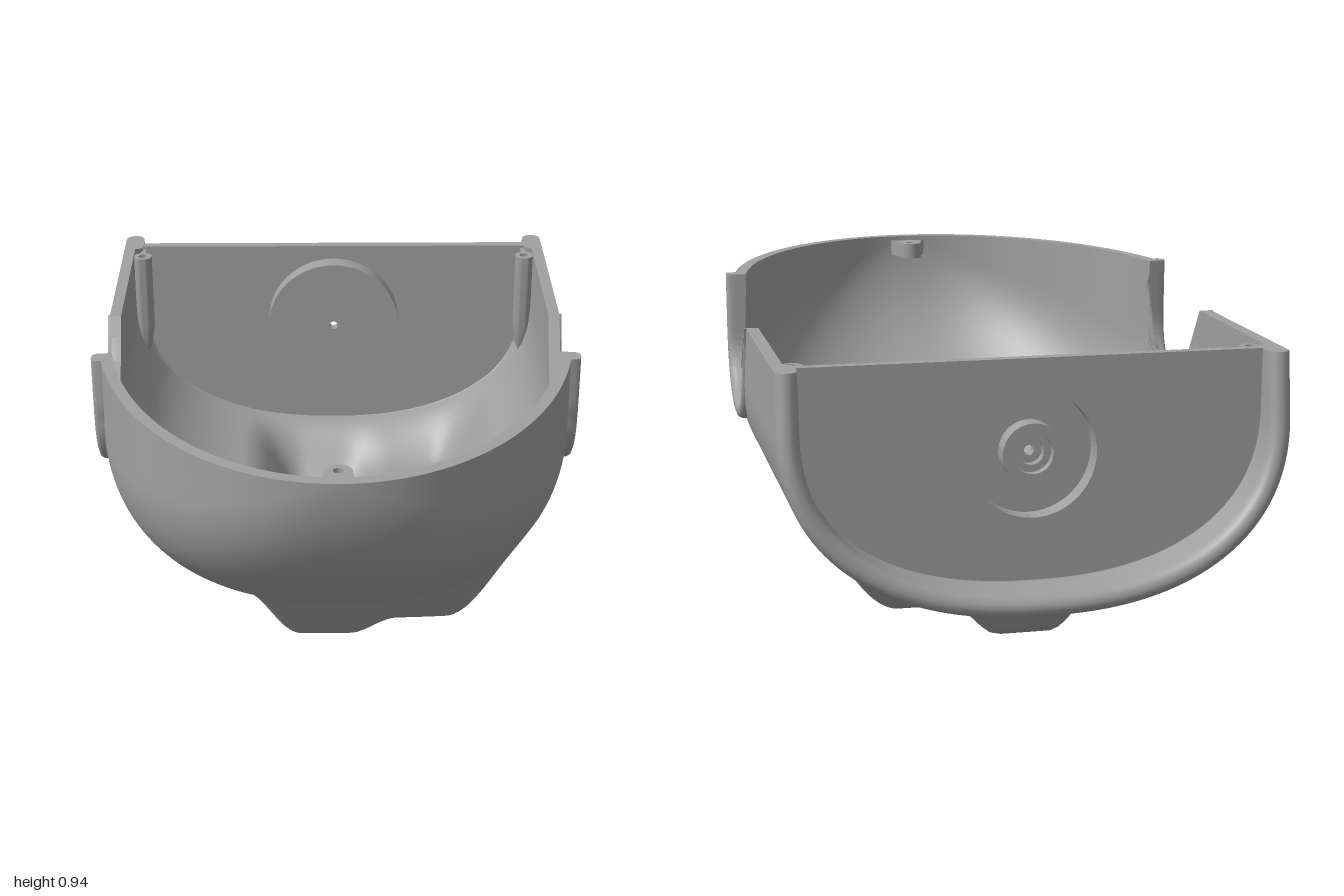
import * as THREE from 'three';
import { toCreasedNormals } from 'three/addons/utils/BufferGeometryUtils.js';

const N = 2.3;            // roundness of the U-shaped section
const WALL = 0.035, LIP = 0.06, Z_END = -0.97;
const { smoothstep: step, lerp } = THREE.MathUtils;

// Half width, floor height and shoulder height of the hull at z
function station(z) {
  const k = z > 0 ? Math.sqrt(Math.max(0, 1 - z * z)) : 1;
  return { w: 0.7 * k, h: 0.517 * k, yc: 0.94 - 0.243 * k };
}

// Rim height, including the round side cut-out
function rimY(z) {
  if (z > 0.21501) return 0.94;
  if (z > -0.114) return 0.753 - Math.sqrt(Math.max(0, 0.175 ** 2 - (z - 0.04) ** 2));
  if (z > -0.24) return lerp(0.667, 0.855, (-0.114 - z) / 0.126);
  return 0.855;
}

// Lopsided bulge pressed out of the underside
function bulge(x, y, z) {
  const low = lerp(0.037, 0.001, 1 - step(z, -0.36, -0.08));
  const target = lerp(low, 0.1, step(x, 0.04, 0.18));
  const m = step(x, -0.3, -0.11) * (1 - step(x, 0.33, 0.56))
    * (1 - step(z, 0.28, 0.58)) * step(z, -0.8, -0.58);
  return lerp(y, Math.min(y, target), m);
}

// Point on the outer skin; p runs from 1 (+x rim) to -1 (-x rim)
function skin(p, z) {
  const { w, h, yc } = station(z), top = rimY(z);
  const start = top >= yc ? yc - top : Math.asin(Math.min(1, ((yc - top) / h) ** (N / 2)));
  const a = lerp(Math.PI / 2, start, Math.abs(p));
  const x = a > 0 ? w * Math.max(0, Math.cos(a)) ** (2 / N) : w;
  const y = a > 0 ? yc - h * Math.sin(a) ** (2 / N) : yc - a;
  const sx = Math.sign(p) * x;
  return new THREE.Vector3(sx, bulge(sx, y, z), z);
}

function halfWidth(z, y) {
  const { w, h, yc } = station(z);
  return y >= yc ? w : w * (1 - ((yc - y) / h) ** N) ** (1 / N);
}

function geometry(points, index) {
  const g = new THREE.BufferGeometry().setFromPoints(points);
  g.setIndex(index);
  g.computeVertexNormals();
  return g;
}

function gridIndex(rows, cols) {
  const out = [];
  for (let i = 0; i < rows - 1; i++) for (let j = 0; j < cols - 1; j++) {
    const a = i * cols + j, c = a + cols;
    out.push(a, a + 1, c, a + 1, c + 1, c);
  }
  return out;
}

// Stations along the hull, denser around the nose and the cut-out
function stations() {
  const zs = [];
  const run = (n, f) => { for (let i = 0; i <= n; i++) zs.push(f(i / n)); };
  run(56, t => Math.sin(lerp(Math.PI / 2, Math.asin(0.2151), t)));
  run(26, t => 0.04 + 0.175 * Math.cos(2.647 * t));
  run(3, t => lerp(-0.125, -0.24, t));
  run(34, t => lerp(-0.25, -0.82, t));
  run(6, t => lerp(-0.84, Z_END, t));
  return zs;
}

// Hull: outer skin, rounded back lip and inner skin in one grid, plus flat rims
function hullGeometries() {
  const zs = stations(), cols = 113, outer = [];
  for (const z of zs) for (let j = 0; j < cols; j++) outer.push(skin(1 - 2 * j / (cols - 1), z));
  const nrm = geometry(outer, gridIndex(zs.length, cols)).attributes.normal;

  const rows = zs.map((z, i) => ({ i, off: 0, dz: 0 }));
  for (let s = 1; s < 8; s++) {
    const a = Math.PI * s / 8;
    rows.push({ i: zs.length - 1, off: LIP / 2 * (1 - Math.cos(a)), dz: -LIP / 2 * Math.sin(a) });
  }
  for (let i = zs.length - 1; i >= 0; i--) rows.push({ i, off: zs[i] < -0.83 ? LIP : WALL, dz: 0 });

  const pts = [];
  for (const { i, off, dz } of rows) for (let j = 0; j < cols; j++) {
    const k = i * cols + j, n = new THREE.Vector3().fromBufferAttribute(nrm, k);
    if (j === 0 || j === cols - 1) n.y = 0;
    if (i === 0) n.set(0, 0, 1);
    const v = outer[k].clone().addScaledVector(n.normalize(), -off);
    v.z += dz;
    // the back edge leans forward towards its top
    v.z += 0.14 * (v.y - 0.18) * (1 - step(v.z, -0.97, -0.72));
    pts.push(v);
  }
  const R = rows.length, rim = [];
  for (let i = 0; i < R / 2 - 1; i++) for (const j of [0, cols - 1]) {
    const a = i * cols + j, b = a + cols, c = (R - 1 - i) * cols + j, d = c - cols;
    if (j === 0) rim.push(a, b, c, b, d, c); else rim.push(a, c, b, b, c, d);
  }
  const rimGeo = geometry(pts, rim).toNonIndexed();
  rimGeo.computeVertexNormals();
  return [geometry(pts, gridIndex(R, cols)), rimGeo];
}

// Raised collar following the edge of a side cut-out
function collarGeometry(side) {
  const path = [];
  for (let i = 0; i < 5; i++) path.push([0.215, lerp(0.94, 0.765, i / 4), 1, 0, 0.05]);
  for (let i = 0; i <= 28; i++) {
    const a = -i / 28 * 2.63;
    path.push([0.04 + 0.175 * Math.cos(a), 0.753 + 0.175 * Math.sin(a), Math.cos(a), Math.sin(a), 0.045]);
  }
  for (let i = 1; i <= 5; i++) {
    const t = i / 5;
    path.push([lerp(-0.114, -0.24, t), lerp(0.667, 0.855, t), -0.83, -0.55 * (1 - t), lerp(0.045, 0.012, t)]);
  }
  const pts = [];
  for (const [z, y, nz, ny, d] of path) {
    const xin = halfWidth(z, y) - WALL, X = 0.706;
    const ring = [[xin, 0], [X - 0.014, 0], [X - 0.004, 0.12], [X, 0.35], [X, 0.65],
      [X - 0.004, 0.88], [X - 0.014, 1], [xin + 0.01, 1], [xin, 0]];
    for (const [x, o] of ring) pts.push(new THREE.Vector3(side * x, y + ny * o * d, z + nz * o * d));
  }
  const index = gridIndex(path.length, 9), last = (path.length - 1) * 9;
  for (let k = 1; k < 7; k++) index.push(0, k + 1, k, last, last + k, last + k + 1);
  if (side > 0) index.reverse();
  return toCreasedNormals(geometry(pts, index), 0.8);
}

function lathe(profile, segments) {
  const g = new THREE.LatheGeometry(profile.map(p => new THREE.Vector2(...p)), segments);
  return toCreasedNormals(g, 0.6);
}

export function createModel() {
  const group = new THREE.Group();
  const grey = new THREE.MeshStandardMaterial({ color: 0xa0a0a0, side: THREE.DoubleSide });
  grey.name = 'grey plastic';
  const add = (name, geo, x = 0, y = 0, z = 0) => {
    const m = new THREE.Mesh(geo, grey);
    m.name = name;
    m.position.set(x, y, z);
    group.add(m);
    return m;
  };

  const [hull, rim] = hullGeometries();
  add('hullShell', hull);
  add('hullRim', rim);

  // Bulkhead closing the back, with a round opening
  const outline = [];
  for (let j = 0; j <= 60; j++) {
    const v = skin(1 - j / 30, -0.82);
    outline.push(new THREE.Vector2(v.x * 0.975, Math.max(v.y + 0.015 * (v.y < 0.5), 0)));
  }
  const plate = new THREE.Shape(outline);
  plate.holes.push(new THREE.Path().absarc(0, 0.59, 0.175, 0, Math.PI * 2, true));
  add('bulkhead', new THREE.ExtrudeGeometry(plate, { depth: 0.03, bevelEnabled: false, curveSegments: 48 }), 0, 0, -0.84);

  // Round cup in the bulkhead with a stepped boss facing back
  const cup = lathe([[0.014, -0.75], [0.014, -0.785], [0.035, -0.785], [0.035, -0.81], [0.055, -0.81],
    [0.055, -0.835], [0.085, -0.835], [0.085, -0.78], [0.175, -0.78], [0.175, -0.815],
    [0.22, -0.815], [0.22, -0.75], [0.014, -0.75]], 56);
  cup.rotateX(Math.PI / 2);
  add('bulkheadCup', cup, 0, 0.59, 0);

  // Side collars and rear screw posts
  for (const [side, label] of [[1, 'left'], [-1, 'right']]) {
    add(label + 'Collar', collarGeometry(side));
    add(label + 'ScrewPost', lathe([[0, 0.48], [0.02, 0.53], [0.03, 0.6], [0.03, 0.845],
      [0.014, 0.845], [0.014, 0.8], [0, 0.8]], 24), side * 0.637, 0, -0.75);
    add(label + 'PostWeb', new THREE.BoxGeometry(0.016, 0.26, 0.05), side * 0.637, 0.715, -0.8);
  }

  // Front screw tab
  const tab = new THREE.Shape();
  tab.moveTo(-0.065, -0.965);
  tab.quadraticCurveTo(-0.04, -0.955, -0.038, -0.905);
  tab.absarc(0, -0.905, 0.038, Math.PI, 0, true);
  tab.quadraticCurveTo(0.04, -0.955, 0.065, -0.965);
  tab.holes.push(new THREE.Path().absarc(0, -0.9, 0.014, 0, Math.PI * 2, true));
  const tabGeo = new THREE.ExtrudeGeometry(tab, { depth: 0.05, bevelEnabled: false });
  tabGeo.rotateX(-Math.PI / 2);
  add('frontScrewTab', tabGeo, 0, 0.875, 0);

  return group;
}
